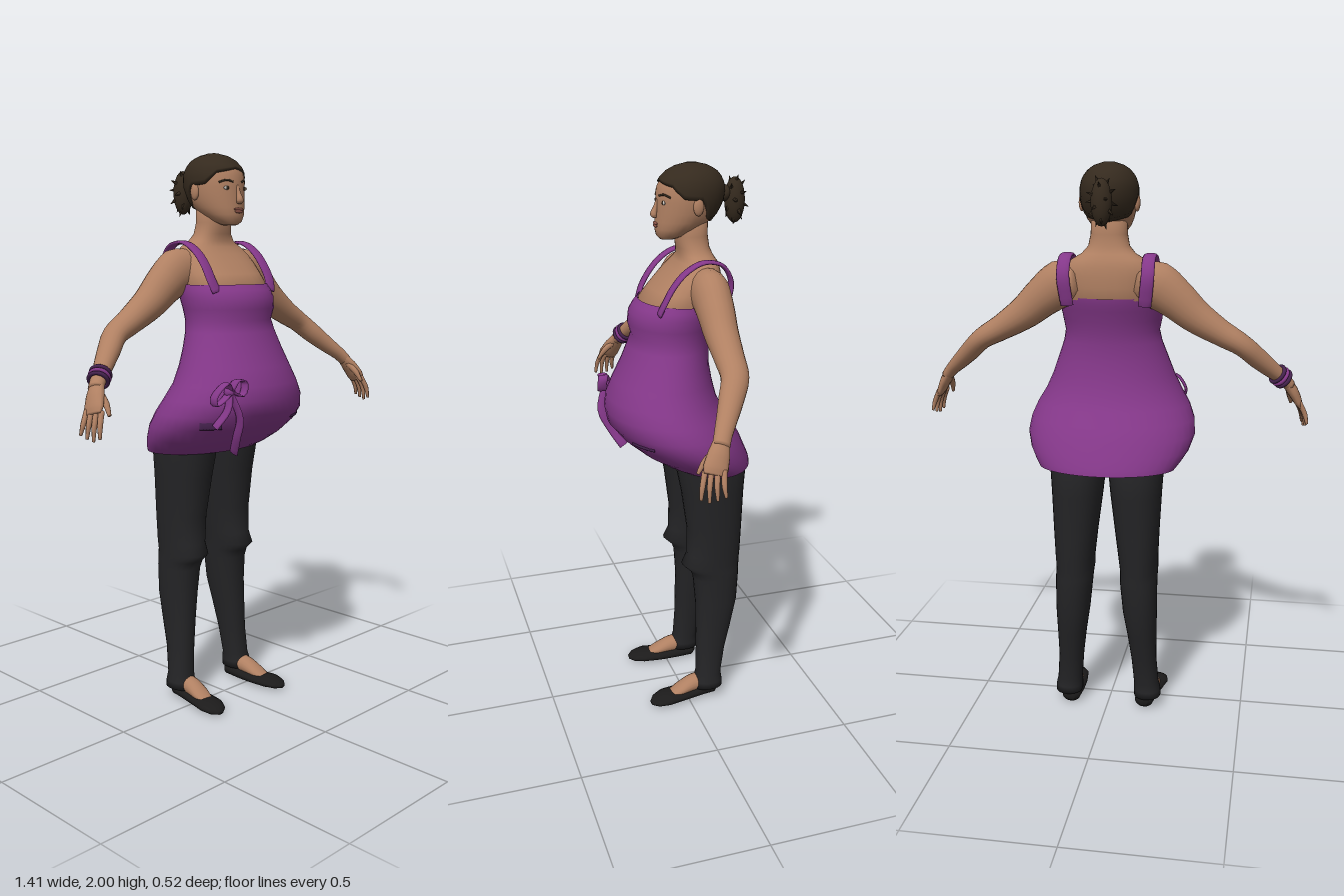
import * as THREE from 'three';

const mat = (name, color, side = THREE.FrontSide) => {
  const m = new THREE.MeshStandardMaterial({ color, side });
  m.name = name;
  return m;
};

// Signed power, for superellipse cross-sections
const spow = (v, e) => Math.sign(v) * Math.abs(v) ** e;

// Point on a body cross-section; row = [y, centre x, half width, front z, back z]
function ringPoint([y, cx, w, zf, zb], a, p = 2) {
  return new THREE.Vector3(
    cx + w * spow(Math.sin(a), 2 / p), y,
    (zf + zb) / 2 + (zf - zb) / 2 * spow(Math.cos(a), 2 / p));
}

// Interpolated row at a height
function rowAt(rows, y) {
  let i = 0;
  while (i < rows.length - 2 && rows[i + 1][0] < y) i++;
  const t = THREE.MathUtils.clamp((y - rows[i][0]) / (rows[i + 1][0] - rows[i][0]), 0, 1);
  return rows[i].map((v, k) => v + (rows[i + 1][k] - v) * t);
}

// Front surface point of a lofted body at x, y
function frontPoint(rows, x, y, out = 0) {
  const [, cx, w, zf, zb] = rowAt(rows, y);
  const c = Math.sqrt(Math.max(0, 1 - ((x - cx) / w) ** 2));
  return new THREE.Vector3(x, y, (zf + zb) / 2 + (zf - zb) / 2 * c + out);
}

// Skin closed rings of points into a mesh
function skinRings(name, rings, material, capped = true) {
  const n = rings[0].length, pos = [], idx = [];
  rings.forEach(r => r.forEach(p => pos.push(p.x, p.y, p.z)));
  for (let r = 0; r < rings.length - 1; r++) {
    for (let i = 0; i < n; i++) {
      const a = r * n + i, b = r * n + (i + 1) % n;
      idx.push(a, b, a + n, b, b + n, a + n);
    }
  }
  if (capped) {
    [0, rings.length - 1].forEach((r, end) => {
      const c = rings[r].reduce((s, p) => s.add(p), new THREE.Vector3()).divideScalar(n);
      const k = pos.length / 3;
      pos.push(c.x, c.y, c.z);
      for (let i = 0; i < n; i++) {
        const a = r * n + i, b = r * n + (i + 1) % n;
        if (end) idx.push(a, b, k); else idx.push(b, a, k);
      }
    });
  }
  const g = new THREE.BufferGeometry();
  g.setAttribute('position', new THREE.Float32BufferAttribute(pos, 3));
  g.setIndex(idx);
  g.computeVertexNormals();
  const m = new THREE.Mesh(g, material);
  m.name = name;
  return m;
}

const angles = n => Array.from({ length: n }, (_, i) => i / n * Math.PI * 2);

const loft = (name, rows, material, { p = 2, n = 32, capped = true } = {}) =>
  skinRings(name, rows.map(r => angles(n).map(a => ringPoint(r, a, p))), material, capped);

// Sweep an ellipse; row = [x, y, z, radius across, radius along ref]
function sweep(name, rows, material, { ref = [0, 0, 1], n = 14, steps = 4 } = {}) {
  const curve = new THREE.CatmullRomCurve3(rows.map(r => new THREE.Vector3(r[0], r[1], r[2])));
  const total = (rows.length - 1) * steps, rings = [];
  for (let s = 0; s <= total; s++) {
    const u = s / total, f = u * (rows.length - 1), i = Math.min(Math.floor(f), rows.length - 2);
    const rad = k => rows[i][k] + (rows[i + 1][k] - rows[i][k]) * (f - i);
    const c = curve.getPoint(u), T = curve.getTangent(u);
    const V = new THREE.Vector3(...ref).addScaledVector(T, -T.dot(new THREE.Vector3(...ref))).normalize();
    const U = T.clone().cross(V);
    rings.push(angles(n).map(a => c.clone()
      .addScaledVector(U, rad(3) * Math.sin(a)).addScaledVector(V, rad(4) * Math.cos(a))));
  }
  return skinRings(name, rings, material);
}

function blob(name, pos, scale, material) {
  const m = new THREE.Mesh(new THREE.SphereGeometry(1, 18, 12).scale(...scale), material);
  m.position.set(...pos);
  m.name = name;
  return m;
}

// Mirror a mesh to the model's right side
function mirrored(mesh) {
  const g = mesh.geometry.clone().scale(-1, 1, 1), ix = g.index.array;
  for (let i = 0; i < ix.length; i += 3) [ix[i], ix[i + 1]] = [ix[i + 1], ix[i]];
  const m = new THREE.Mesh(g, mesh.material);
  m.position.set(-mesh.position.x, mesh.position.y, mesh.position.z);
  m.name = mesh.name.replace('left', 'right');
  return m;
}

const HEAD = [
  [1.75, 0, .025, .055, 0], [1.762, 0, .048, .068, -.03], [1.785, 0, .068, .073, -.08],
  [1.81, 0, .081, .072, -.12], [1.84, 0, .09, .07, -.145], [1.88, 0, .096, .068, -.163],
  [1.92, 0, .095, .066, -.166], [1.948, 0, .085, .052, -.155], [1.97, 0, .066, .028, -.135],
  [1.984, 0, .042, -.003, -.105], [1.991, 0, .012, -.04, -.07]];

const DRESS = [
  [.945, 0, .245, .05, -.262], [.965, 0, .262, .09, -.258], [1, 0, .287, .145, -.242],
  [1.05, 0, .305, .205, -.22], [1.1, 0, .3, .246, -.193], [1.15, 0, .28, .256, -.16],
  [1.2, 0, .25, .25, -.135], [1.26, 0, .222, .225, -.12], [1.32, 0, .2, .195, -.11],
  [1.38, 0, .178, .172, -.11], [1.42, 0, .17, .158, -.115], [1.46, 0, .178, .17, -.125],
  [1.5, 0, .184, .165, -.138], [1.525, 0, .182, .15, -.147], [1.545, 0, .18, .132, -.15]];

export function createModel() {
  const skin = mat('skin', 0xb08062), purple = mat('purple cloth', 0x85388a, THREE.DoubleSide);
  const darkPurple = mat('dark purple', 0x46234f), black = mat('trouser black', 0x242426);
  const shoeBlack = mat('shoe black', 0x1c1b1b), hairBrown = mat('hair brown', 0x352a1e);
  const white = mat('eye white', 0xd8d0c8), lipTone = mat('lip', 0x95594c);
  const model = new THREE.Group();
  model.name = 'woman';
  const add = (...m) => model.add(...m);
  const pair = m => add(m, mirrored(m));

  // Torso, shoulders and neck
  add(loft('chestAndNeck', [
    [1.46, 0, .16, .12, -.115], [1.54, 0, .172, .124, -.144], [1.58, 0, .172, .088, -.147],
    [1.62, 0, .168, .05, -.147], [1.65, 0, .155, .02, -.143], [1.675, 0, .128, 0, -.137],
    [1.695, 0, .094, -.008, -.125], [1.72, 0, .072, -.004, -.115], [1.76, 0, .064, .002, -.11],
    [1.83, 0, .062, 0, -.11]], skin, { p: 2.3 }));

  // Head and face
  add(loft('head', HEAD, skin));
  add(sweep('nose', [[0, 1.885, .062, .007, .006], [0, 1.855, .071, .009, .009],
    [0, 1.834, .078, .014, .012], [0, 1.824, .073, .011, .006]], skin));
  const face = (x, y, out) => frontPoint(HEAD, x, y, out).toArray();
  add(blob('upperLip', face(0, 1.804, 0), [.024, .005, .005], lipTone));
  add(blob('lowerLip', face(0, 1.796, 0), [.02, .006, .005], lipTone));
  pair(blob('leftEye', face(.042, 1.876, -.001), [.016, .007, .004], white));
  pair(blob('leftIris', face(.042, 1.876, .001), [.007, .0065, .004], hairBrown));
  pair(sweep('leftBrow', [.02, .042, .064].map((x, i) =>
    [...face(x, [1.897, 1.903, 1.895][i], 0), .0035, .003]), hairBrown, { n: 8 }));
  pair(blob('leftEar', [.096, 1.865, -.05], [.011, .03, .018], skin));

  // Hair cap following the hairline
  const hairline = a => {
    const d = Math.abs(a > Math.PI ? a - Math.PI * 2 : a) / Math.PI;
    return rowAt([[0, 1.945], [.25, 1.93], [.38, 1.89], [.55, 1.885], [.68, 1.82], [1, 1.80]], d)[1];
  };
  add(skinRings('hairCap', Array.from({ length: 13 }, (_, k) => angles(48).map(a => {
    const y0 = hairline(a), y = y0 + (1.991 - y0) * Math.sin(k / 12 * Math.PI / 2);
    const r = rowAt(HEAD, y);
    return ringPoint([y + .009 * k / 12, 0, r[2] + .006, r[3] + .006, r[4] - .006], a);
  })), hairBrown));

  // Ponytail with spiky locks
  add(blob('ponytail', [0, 1.87, -.212], [.036, .078, .036], hairBrown));
  add(blob('ponytailTie', [0, 1.895, -.175], [.026, .028, .022], hairBrown));
  for (let i = 0; i < 18; i++) {
    const a = i * 2.4, v = 1 - 2 * (i + .5) / 18, h = Math.sqrt(1 - v * v);
    const d = new THREE.Vector3(Math.cos(a) * h, v * 1.2 - .25, Math.sin(a) * h * .6 - .2).normalize();
    const lock = new THREE.Mesh(new THREE.ConeGeometry(.016, .05, 5), hairBrown);
    lock.name = 'ponytailLock';
    lock.position.set(Math.cos(a) * h * .034, 1.87 + v * .068, -.212 + Math.sin(a) * h * .028);
    lock.quaternion.setFromUnitVectors(new THREE.Vector3(0, 1, 0), d);
    add(lock);
  }

  // Dress, straps and pleats
  add(loft('dress', DRESS, purple, { n: 40, capped: false }));
  pair(sweep('leftStrap', [[1.52, .1], [1.56, .084], [1.61, .055], [1.655, .015], [1.685, -.035],
    [1.69, -.075], [1.675, -.12], [1.62, -.15], [1.52, -.134]].map(([y, z], i) =>
    [i === 0 || i === 8 ? .135 : .146, y, z, .007, .023]), purple, { ref: [1, 0, 0], n: 10 }));
  add(sweep('pleat', [.14, .18, .23].map(x =>
    [...frontPoint(DRESS, x, 1.072, 0).toArray(), .007, .004]), darkPurple, { n: 8 }));
  add(sweep('pleat', [-.25, -.22, -.19].map(x =>
    [...frontPoint(DRESS, x, 1.075, 0).toArray(), .018, .004]), darkPurple, { n: 8 }));

  // Bow on the right hip
  const ribbon = (name, pts) => add(sweep(name, pts.map(p => [...p, .005, .018]), purple, { n: 8 }));
  const knot = [-.185, 1.19, .21];
  add(blob('bowKnot', knot, [.02, .02, .02], purple));
  ribbon('bowLoop', [knot, [-.21, 1.222, .22], [-.25, 1.175, .2], [-.245, 1.15, .2], [-.215, 1.165, .21], knot]);
  ribbon('bowLoop', [knot, [-.165, 1.228, .225], [-.14, 1.222, .235], [-.15, 1.18, .235], knot]);
  ribbon('bowTail', [knot, [-.2, 1.13, .215], [-.23, 1.07, .185]]);
  ribbon('bowTail', [knot, [-.16, 1.1, .235], [-.145, 1.03, .205], [-.12, .965, .165]]);

  // Arms
  pair(sweep('leftArm', [
    [.1, 1.598, -.07, .07, .066], [.17, 1.585, -.068, .084, .067], [.23, 1.545, -.066, .072, .063],
    [.3, 1.486, -.062, .06, .057], [.39, 1.428, -.058, .046, .05], [.465, 1.385, -.05, .038, .046],
    [.52, 1.335, -.018, .036, .041], [.57, 1.29, .014, .03, .034], [.61, 1.255, .04, .024, .029],
    [.635, 1.228, .055, .021, .028]], skin, { n: 20 }));

  // Hands: palm, four fingers and thumb
  pair(sweep('leftPalm', [[.622, 1.243, .047, .019, .026], [.645, 1.208, .065, .02, .036],
    [.664, 1.172, .081, .016, .041], [.673, 1.152, .088, .01, .036]], skin));
  for (let i = 0; i < 4; i++) {
    const o = i - 1.5, drop = Math.abs(o - .3) * .01;
    pair(sweep('leftFinger', [[.666 - o * .004, 1.165, .086 + o * .019, .01, .01],
      [.686 - o * .005, 1.12, .096 + o * .022, .009, .009],
      [.693 - o * .006, 1.068 + drop, .097 + o * .025, .005, .005]], skin, { n: 8 }));
  }
  pair(sweep('leftThumb', [[.632, 1.218, .07, .013, .013], [.636, 1.185, .108, .011, .011],
    [.642, 1.15, .132, .006, .006]], skin, { n: 8 }));

  // Bracelets on the right wrist
  const wrist = new THREE.Vector3(-.66, -.58, .44).normalize();
  [-.016, 0, .016].forEach((o, i) => {
    const b = new THREE.Mesh(new THREE.TorusGeometry(.032, .007, 8, 24), i === 1 ? purple : darkPurple);
    b.name = 'bracelet';
    b.position.set(-.602, 1.262, .035).addScaledVector(wrist, o);
    b.quaternion.setFromUnitVectors(new THREE.Vector3(0, 0, 1), wrist);
    add(b);
  });

  // Trouser legs
  pair(loft('leftTrouserLeg', [
    [.045, .15, .05, -.02, -.138], [.07, .149, .05, -.028, -.136], [.1, .146, .046, -.036, -.132],
    [.2, .138, .046, -.04, -.15], [.3, .132, .053, -.04, -.175], [.4, .125, .062, -.04, -.198],
    [.5, .12, .067, -.032, -.205], [.53, .119, .068, -.02, -.206], [.56, .118, .069, .012, -.207],
    [.6, .117, .071, -.008, -.21], [.7, .113, .079, -.01, -.215], [.85, .107, .092, .01, -.222],
    [.95, .105, .1, .03, -.23], [1.05, .1, .098, .04, -.19]], black, { p: 2.2, n: 24 }));

  // Feet and flat shoes
  const up = { ref: [0, 1, 0], n: 18 };
  pair(sweep('leftFoot', [[.145, .062, -.09, .034, .036], [.147, .056, -.02, .034, .032],
    [.152, .042, .03, .034, .02], [.157, .03, .07, .025, .008]], skin, up));
  pair(sweep('leftShoe', [[.14, .027, -.122, .014, .014], [.14, .028, -.105, .034, .028],
    [.143, .024, -.04, .041, .024], [.15, .021, .03, .047, .021], [.16, .02, .09, .05, .02],
    [.166, .015, .13, .036, .014], [.168, .011, .15, .012, .006]], shoeBlack, up));

  return model;
}
